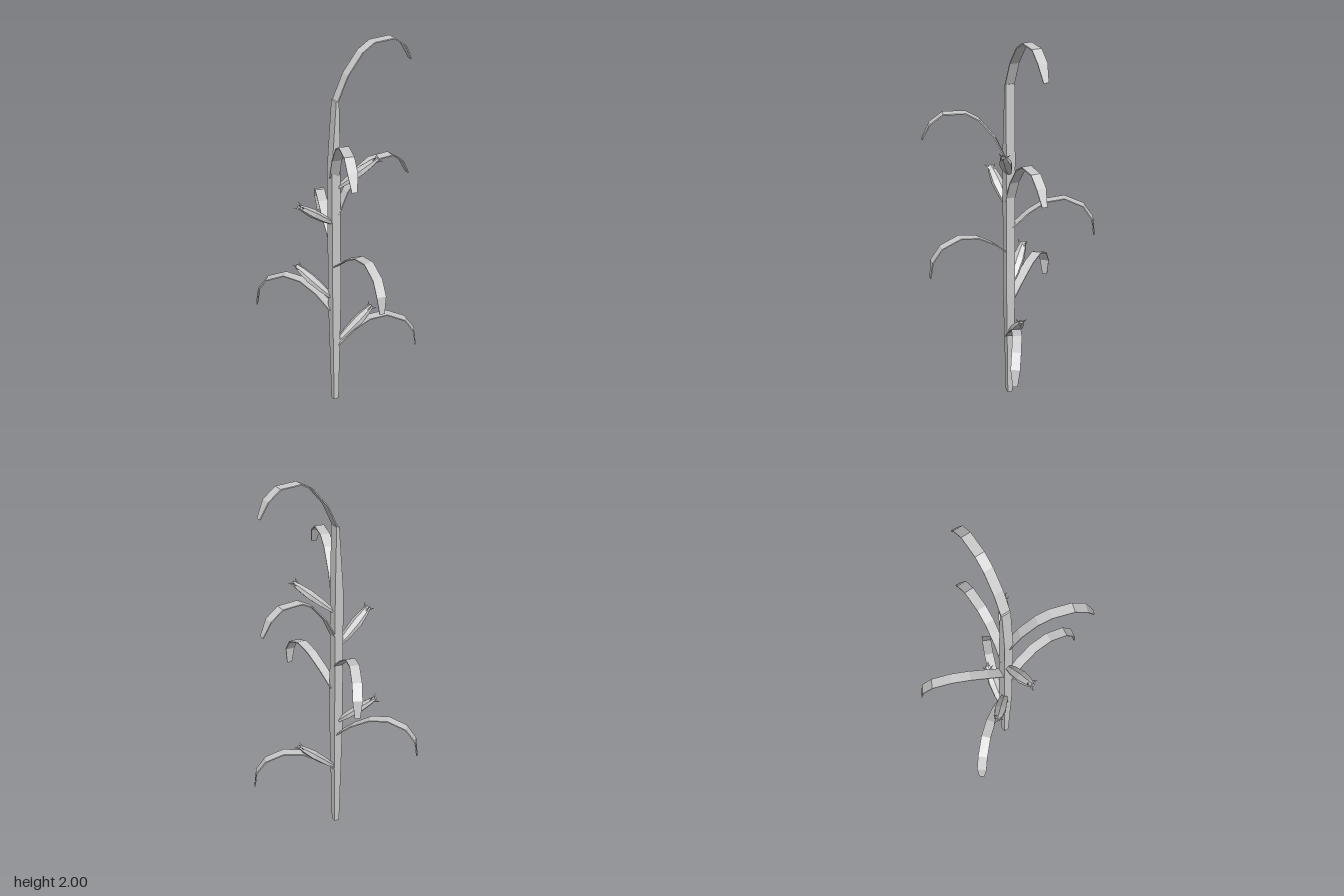
import * as THREE from 'three';

const CX = -0.067, CZ = -0.009; // stalk axis
const mat = new THREE.MeshStandardMaterial({ color: 0xcccccc, flatShading: true });

// Closed skin over four-cornered rings, counter-clockwise about the direction of travel
function loft(rings) {
  const pos = [], idx = [], n = 4;
  rings.forEach(r => r.forEach(p => pos.push(p.x, p.y, p.z)));
  for (let i = 0; i < rings.length - 1; i++) {
    for (let j = 0; j < n; j++) {
      const a = i * n + j, b = i * n + (j + 1) % n;
      idx.push(a, b, b + n, a, b + n, a + n);
    }
  }
  const e = (rings.length - 1) * n;
  idx.push(0, 2, 1, 0, 3, 2, e, e + 1, e + 2, e, e + 2, e + 3);
  const g = new THREE.BufferGeometry();
  g.setAttribute('position', new THREE.Float32BufferAttribute(pos, 3));
  g.setIndex(idx);
  g.computeVertexNormals();
  return g;
}

// Rectangle of half sizes hs and hn spanned by s and n
function ring(c, s, n, hs, hn) {
  return [[1, 1], [-1, 1], [-1, -1], [1, -1]].map(([a, b]) =>
    c.clone().addScaledVector(s, a * hs).addScaledVector(n, b * hn));
}

function mesh(geometry, name) {
  const m = new THREE.Mesh(geometry, mat);
  m.name = name;
  return m;
}

// Leaf arches as [reach, height]
const HIGH = [[0.012, 0], [0.067, 0.12], [0.147, 0.22], [0.212, 0.258], [0.322, 0.258], [0.387, 0.21], [0.427, 0.13]];
const LOW = [[0.015, -0.145], [0.1, -0.07], [0.19, -0.015], [0.28, 0], [0.37, -0.04], [0.415, -0.11], [0.425, -0.2]];

// Thin strip arching away from the stalk; bend curves it sideways
function leafGeometry(arch, y, degrees, bend) {
  const a = THREE.MathUtils.degToRad(degrees), c = Math.cos(a), d = Math.sin(a);
  const pts = arch.map(([r, h]) => {
    const side = bend * r * r;
    return new THREE.Vector3(CX + c * r - d * side, y + h, CZ + d * r + c * side);
  });
  const up = new THREE.Vector3(0, 1, 0);
  return loft(pts.map((p, i) => {
    const t = pts[Math.min(i + 1, pts.length - 1)].clone().sub(pts[Math.max(i - 1, 0)]).normalize();
    const s = up.clone().cross(t).normalize();
    const n = t.clone().cross(s);
    return ring(p, s, n, i === pts.length - 1 ? 0.013 : 0.0245, 0.003);
  }));
}

// Six-sided husk with a hollow tip and small curled husk points
function makeEar(from, to) {
  const ear = new THREE.Group();
  ear.name = 'ear';
  const a = new THREE.Vector3(...from), dir = new THREE.Vector3(...to).sub(a);
  const L = dir.length();
  dir.normalize();
  const profile = [[0, 0], [0.015, 0], [0.028, 0.28], [0.033, 0.6], [0.024, 0.85], [0.013, 1], [0.008, 0.96], [0, 0.95]]
    .map(([r, h]) => new THREE.Vector2(r, h * L));
  ear.add(mesh(new THREE.LatheGeometry(profile, 6), 'husk'));
  for (const [angle, h] of [[0.4, 0.93], [2.3, 0.9], [4.3, 0.95]]) {
    const g = new THREE.ConeGeometry(0.007, 0.035, 4);
    g.translate(0, 0.0175, 0);
    g.rotateZ(-0.7);
    g.translate(0.014, h * L, 0);
    g.rotateY(angle);
    ear.add(mesh(g, 'huskPoint'));
  }
  // Wide side level, flattened across the upper face
  const s = new THREE.Vector3(0, 1, 0).cross(dir).normalize();
  const n = s.clone().cross(dir);
  ear.quaternion.setFromRotationMatrix(new THREE.Matrix4().makeBasis(s, dir, n));
  ear.position.copy(a);
  ear.scale.z = 0.7;
  return ear;
}

export function createModel() {
  const model = new THREE.Group();
  model.name = 'cornPlant';

  // Square stalk, pinched to a blade at the top: [y, centre x, half x, half z]
  const X = new THREE.Vector3(1, 0, 0), Z = new THREE.Vector3(0, 0, 1);
  const stalk = [[0, CX, 0.014, 0.014], [0.6, CX, 0.024, 0.024], [1.38, CX, 0.024, 0.024], [1.74, -0.057, 0.008, 0.0235]];
  model.add(mesh(loft(stalk.map(([y, x, hx, hz]) =>
    ring(new THREE.Vector3(x, y, CZ), Z, X, hz, hx))), 'stalk'));

  // Leaves: arch, height, heading in degrees from +x towards +z, sideways bend
  const leaves = [
    [HIGH, 1.74, 0, 0], [HIGH, 1.34, 107, 0], [HIGH, 1.125, 0, 0],
    [LOW, 1.12, -83.4, 0.54], [LOW, 0.98, 75, -0.54 * -1], [LOW, 0.71, -117, -0.54], [LOW, 0.495, 6.4, 0.54],
  ];
  leaves.forEach((l, i) => model.add(mesh(leafGeometry(...l), i ? 'leaf' : 'topLeaf')));

  // Ears: foot and tip
  const ears = [
    [[-0.05, 1.28, 0], [0.12, 1.44, 0.1]],
    [[-0.08, 1.085, -0.011], [-0.272, 1.237, 0.008]],
    [[-0.075, 0.64, -0.02], [-0.21, 0.8, -0.155]],
    [[-0.05, 0.36, -0.01], [0.145, 0.535, 0.015]],
  ];
  ears.forEach(e => model.add(makeEar(...e)));
  return model;
}
